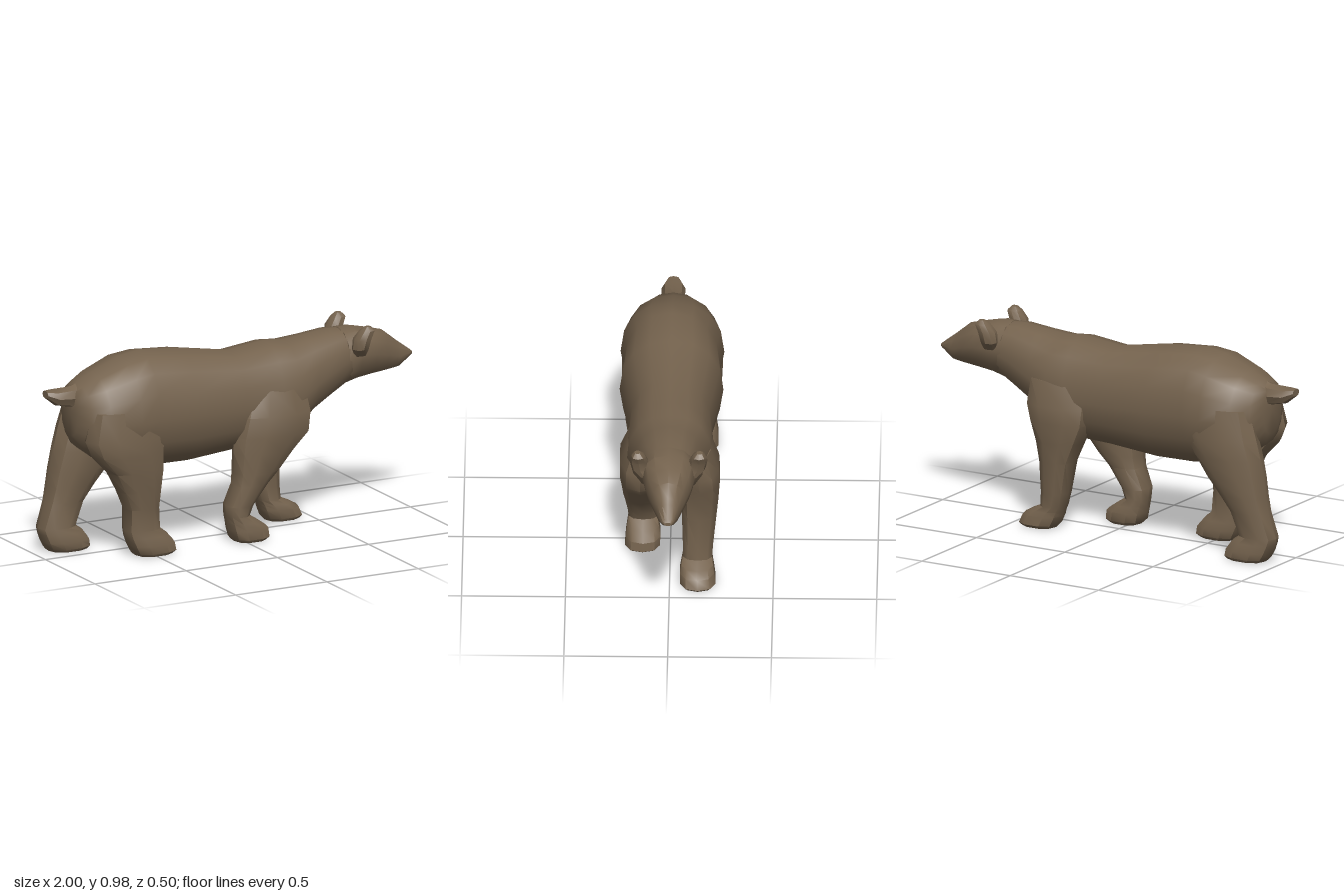
import * as THREE from 'three';
import { toCreasedNormals } from 'three/addons/utils/BufferGeometryUtils.js';

const fur = new THREE.MeshStandardMaterial({ color: 0x75634e });
fur.name = 'brown fur';

// Skin a closed surface over rings that wind counterclockwise about their direction of travel
function loft(name, rings, crease = 0.75) {
  const n = rings[0].length, pos = [], index = [];
  const centre = (ring) => ring.reduce((s, p) => s.map((v, k) => v + p[k] / n), [0, 0, 0]);
  rings.forEach((ring) => ring.forEach((p) => pos.push(...p)));
  const first = rings.length * n, last = first + 1, end = (rings.length - 1) * n;
  pos.push(...centre(rings[0]), ...centre(rings[rings.length - 1]));
  for (let j = 0; j < n; j++) {
    const k = (j + 1) % n;
    for (let i = 0; i < rings.length - 1; i++) {
      const a = i * n + j, b = i * n + k;
      index.push(a, b, a + n, b, b + n, a + n);
    }
    index.push(first, k, j, last, end + j, end + k);
  }
  const geo = new THREE.BufferGeometry();
  geo.setAttribute('position', new THREE.Float32BufferAttribute(pos, 3));
  geo.setIndex(index);
  const mesh = new THREE.Mesh(toCreasedNormals(geo, crease), fur);
  mesh.name = name;
  return mesh;
}

const bulge = (v, e) => Math.sign(v) * Math.abs(v) ** e;
const angles = (n) => Array.from({ length: n }, (_, i) => (i / n) * Math.PI * 2);

// Upright section: x, top, bottom, half width, height of widest point
const section = (n, e = 0.9) => ([x, top, bottom, w, mid = (top + bottom) / 2]) =>
  angles(n).map((a) => {
    const c = bulge(Math.cos(a), e);
    return [x, mid + c * (c > 0 ? top - mid : mid - bottom), w * bulge(Math.sin(a), e)];
  });

// Level section: y, rear x, front x, inner z, outer z, placed on one side
const level = (side, n = 10, up = 1) => ([y, x0, x1, z0, z1]) =>
  angles(n).map((a) => [
    (x0 + x1) / 2 + (bulge(Math.cos(a), 0.8) * (x1 - x0)) / 2,
    y,
    (side * (z0 + z1)) / 2 + (up * bulge(Math.sin(a), 0.8) * (z1 - z0)) / 2,
  ]);

export function createModel() {
  const model = new THREE.Group();
  model.name = 'bear';

  // Torso and neck
  model.add(loft('body', [
    [-0.865, 0.83, 0.60, 0.08, 0.72],
    [-0.83, 0.865, 0.54, 0.155, 0.69],
    [-0.75, 0.905, 0.48, 0.215, 0.68],
    [-0.60, 0.965, 0.43, 0.25, 0.68],
    [-0.49, 0.982, 0.41, 0.23, 0.68],
    [-0.28, 0.963, 0.41, 0.25, 0.68],
    [0.00, 0.917, 0.43, 0.2, 0.66],
    [0.20, 0.94, 0.44, 0.21, 0.66],
    [0.30, 0.93, 0.48, 0.205, 0.68],
    [0.41, 0.94, 0.56, 0.17, 0.73],
    [0.54, 0.954, 0.635, 0.147, 0.79],
    [0.66, 0.945, 0.70, 0.115, 0.82],
  ].map(section(16))));

  // Head tapering to the muzzle
  model.add(loft('head', [
    [0.60, 0.952, 0.67, 0.13, 0.82],
    [0.67, 0.953, 0.69, 0.13, 0.83],
    [0.76, 0.932, 0.70, 0.11, 0.82],
    [0.84, 0.91, 0.706, 0.082, 0.80],
    [0.90, 0.862, 0.712, 0.058, 0.78],
    [0.925, 0.842, 0.716, 0.05, 0.775],
    [0.985, 0.798, 0.758, 0.03],
    [1.0, 0.786, 0.768, 0.018],
  ].map(section(12)), 0.6));

  // Ears
  for (const side of [1, -1]) {
    model.add(loft(side > 0 ? 'leftEar' : 'rightEar', [
      [0.83, 0.63, 0.69, 0.09, 0.14],
      [0.87, 0.61, 0.69, 0.095, 0.178],
      [0.92, 0.615, 0.70, 0.10, 0.188],
      [0.96, 0.645, 0.72, 0.115, 0.18],
      [0.98, 0.67, 0.70, 0.135, 0.165],
    ].map(level(side, 8, -1)), 0.6));
  }

  // Tail
  model.add(loft('tail', [
    [-1.0, 0.843, 0.805, 0.03],
    [-0.95, 0.845, 0.765, 0.058],
    [-0.86, 0.85, 0.745, 0.055],
    [-0.78, 0.88, 0.74, 0.05],
  ].map(section(8)), 0.6));

  // Legs in mid-stride: hind and front differ on each side
  const legs = {
    leftHindLeg: [1, [
      [0.74, -0.82, -0.45, 0.05, 0.225],
      [0.60, -0.855, -0.43, 0.03, 0.247],
      [0.52, -0.82, -0.435, 0.03, 0.245],
      [0.43, -0.735, -0.44, 0.035, 0.238],
      [0.33, -0.68, -0.455, 0.05, 0.228],
      [0.24, -0.64, -0.465, 0.06, 0.215],
      [0.13, -0.64, -0.455, 0.06, 0.205],
      [0.095, -0.635, -0.41, 0.053, 0.212],
      [0.055, -0.62, -0.375, 0.045, 0.22],
      [0.015, -0.60, -0.368, 0.047, 0.222],
      [0, -0.58, -0.39, 0.06, 0.21],
    ]],
    rightHindLeg: [-1, [
      [0.74, -0.82, -0.46, 0.05, 0.225],
      [0.60, -0.86, -0.47, 0.03, 0.247],
      [0.50, -0.885, -0.53, 0.03, 0.243],
      [0.40, -0.905, -0.60, 0.04, 0.235],
      [0.32, -0.915, -0.67, 0.05, 0.228],
      [0.24, -0.93, -0.73, 0.06, 0.215],
      [0.12, -0.97, -0.775, 0.06, 0.205],
      [0.09, -0.965, -0.73, 0.053, 0.212],
      [0.05, -0.95, -0.70, 0.045, 0.22],
      [0.015, -0.93, -0.695, 0.047, 0.222],
      [0, -0.91, -0.71, 0.06, 0.21],
    ]],
    leftFrontLeg: [1, [
      [0.74, 0.03, 0.35, 0.05, 0.20],
      [0.62, -0.02, 0.37, 0.04, 0.245],
      [0.52, -0.045, 0.36, 0.04, 0.245],
      [0.44, -0.045, 0.275, 0.045, 0.238],
      [0.34, -0.042, 0.185, 0.05, 0.23],
      [0.28, -0.045, 0.125, 0.06, 0.222],
      [0.18, -0.085, 0.05, 0.06, 0.21],
      [0.13, -0.08, 0.03, 0.06, 0.205],
      [0.095, -0.075, 0.085, 0.053, 0.212],
      [0.06, -0.07, 0.135, 0.045, 0.218],
      [0.015, -0.058, 0.14, 0.047, 0.222],
      [0, -0.04, 0.12, 0.06, 0.21],
    ]],
    rightFrontLeg: [-1, [
      [0.74, 0.08, 0.42, 0.05, 0.20],
      [0.62, 0.06, 0.425, 0.04, 0.24],
      [0.54, 0.07, 0.40, 0.045, 0.245],
      [0.44, 0.12, 0.365, 0.05, 0.238],
      [0.34, 0.17, 0.345, 0.055, 0.228],
      [0.18, 0.205, 0.34, 0.06, 0.212],
      [0.11, 0.225, 0.345, 0.06, 0.207],
      [0.085, 0.235, 0.40, 0.053, 0.212],
      [0.06, 0.24, 0.445, 0.047, 0.218],
      [0.015, 0.26, 0.465, 0.047, 0.225],
      [0, 0.275, 0.45, 0.06, 0.21],
    ]],
  };
  for (const [name, [side, rows]] of Object.entries(legs)) {
    model.add(loft(name, rows.map(level(side))));
  }

  return model;
}
